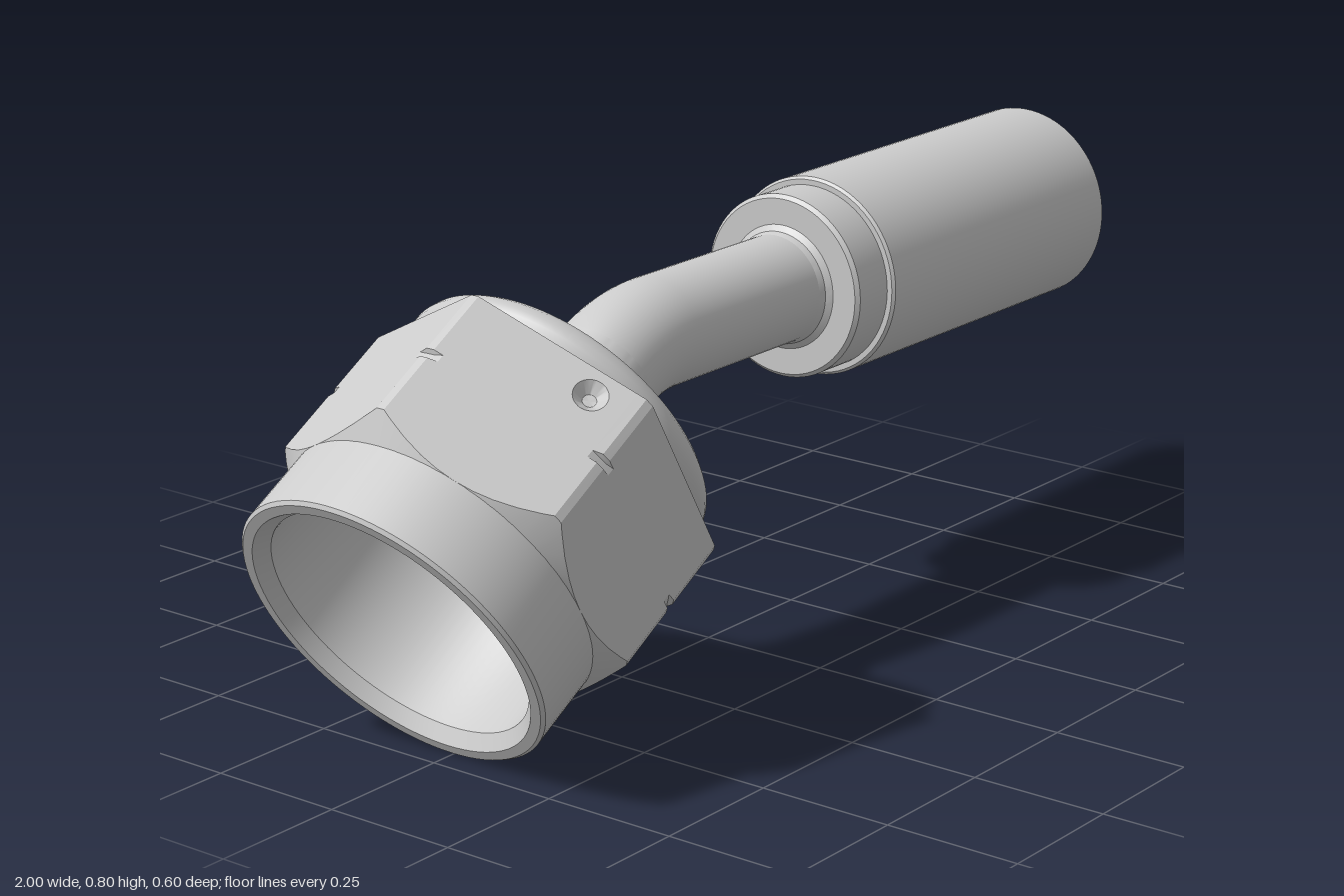
import * as THREE from 'three';
import { toCreasedNormals } from 'three/addons/utils/BufferGeometryUtils.js';

const material = new THREE.MeshStandardMaterial({ color: 0xcccccc });
const thin = new THREE.MeshStandardMaterial({ color: 0xcccccc, side: THREE.DoubleSide });
const rad = THREE.MathUtils.degToRad;

function add(parent, name, geometry, mat = material) {
  const mesh = new THREE.Mesh(geometry, mat);
  mesh.name = name;
  parent.add(mesh);
  return mesh;
}

// Turned part: [radius, distance along axis] pairs, sharp edges kept
function turned(points, sides = 72) {
  const profile = points.map(([r, t]) => new THREE.Vector2(r, t));
  return toCreasedNormals(new THREE.LatheGeometry(profile, sides), 0.6);
}

// Hex nut dimensions: flat radius, corner radius, notch radius, chamfer start, back face
const FLAT = 0.3, CORNER = 0.342, NOTCH = 0.334, FRONT = 0.145, BACK = 0.458;
const OFFSETS = [-28.7, -26, -20, -13, -6.5, 0, 6.5, 13, 20, 26, 28.7];
const MARKED = 2; // flat that carries the dimple
const hexRadius = (offset) => FLAT / Math.cos(rad(offset));
const chamfer = (r) => FRONT + (r - FLAT);

// Hexagon skin lofted through rings; corners are truncated and notched
function hexSkin() {
  const capped = (cap, t) => (o) => [Math.min(hexRadius(o), cap), t];
  const rings = [
    () => [FLAT, FRONT],
    (o) => [hexRadius(o), chamfer(hexRadius(o))],
    capped(CORNER, 0.31), capped(NOTCH, 0.314), capped(NOTCH, 0.325), capped(CORNER, 0.329),
    capped(CORNER, BACK),
    () => [0.25, BACK],
  ];
  const n = OFFSETS.length, count = 6 * n, positions = [], index = [];
  for (const ring of rings) {
    for (let j = 0; j < count; j++) {
      const o = OFFSETS[j % n];
      const a = rad(30 + 60 * Math.floor(j / n) + o);
      const [r, t] = ring(o);
      positions.push(r * Math.cos(a), t, r * Math.sin(a));
    }
  }
  for (let i = 0; i < rings.length - 1; i++) {
    for (let j = 0; j < count; j++) {
      const k = j % n;
      // leave the marked flat open for its pierced panel
      if (i >= 1 && i <= 5 && Math.floor(j / n) === MARKED && k >= 1 && k < n - 2) continue;
      const a = i * count + j, d = i * count + (j + 1) % count;
      const b = a + count, c = d + count;
      index.push(a, b, d, b, c, d);
    }
  }
  const g = new THREE.BufferGeometry();
  g.setAttribute('position', new THREE.Float32BufferAttribute(positions, 3));
  g.setIndex(index);
  return toCreasedNormals(g, 0.25);
}

// Flat with a round dimple
function markedFlat() {
  const group = new THREE.Group();
  group.name = 'markedFlat';
  const inner = OFFSETS.slice(1, -1);
  const shape = new THREE.Shape(inner.map((o) =>
    new THREE.Vector2(FLAT * Math.tan(rad(o)), chamfer(hexRadius(o)))));
  const edge = FLAT * Math.tan(rad(26));
  shape.lineTo(edge, BACK);
  shape.lineTo(-edge, BACK);
  shape.closePath();
  const hole = new THREE.Path();
  hole.absarc(0.087, 0.41, 0.03, 0, Math.PI * 2, true);
  shape.holes.push(hole);
  add(group, 'flatPanel', new THREE.ShapeGeometry(shape, 16));
  const dimple = add(group, 'dimple', turned([[0, -0.02], [0.012, -0.018], [0.03, 0]], 32), thin);
  dimple.rotation.x = Math.PI / 2;
  dimple.position.set(0.087, 0.41, 0);

  const a = rad(30 + 60 * MARKED);
  const normal = new THREE.Vector3(Math.cos(a), 0, Math.sin(a));
  const across = new THREE.Vector3(Math.sin(a), 0, -Math.cos(a));
  group.quaternion.setFromRotationMatrix(
    new THREE.Matrix4().makeBasis(across, new THREE.Vector3(0, 1, 0), normal));
  group.position.copy(normal).multiplyScalar(FLAT);
  return group;
}

export function createModel() {
  const model = new THREE.Group();
  model.name = 'angledHoseFitting';

  // Nut end, built along local y and tilted 30 degrees above horizontal
  const head = new THREE.Group();
  head.name = 'swivelEnd';
  head.position.set(-0.85, 0.26, 0);
  head.rotation.z = -Math.PI / 3;
  model.add(head);

  const nut = new THREE.Group();
  nut.name = 'hexNut';
  head.add(nut);
  add(nut, 'nutCollar', turned([
    [0.236, 0.46], [0.236, 0.4], [0.255, 0.37], [0.255, 0.025], [0.275, 0],
    [0.294, 0], [0.3, 0.006], [0.3, 0.16]], 96));
  add(nut, 'hexBody', hexSkin());
  nut.add(markedFlat());
  add(nut, 'crimpedLip', turned([
    [0.285, 0.45], [0.294, 0.463], [0.3, 0.475], [0.3, 0.488], [0.295, 0.503], [0.285, 0.513],
    [0.272, 0.518], [0.258, 0.515], [0.247, 0.507], [0.241, 0.495], [0.24, 0.45]], 96));

  // Sealing head: cone seat, flange and fillet into the tube
  add(head, 'flangedSeat', turned([
    [0.065, 0.31], [0.09, 0.3], [0.215, 0.375], [0.233, 0.39], [0.233, 0.508], [0.228, 0.514],
    [0.218, 0.516], [0.18, 0.518], [0.15, 0.525], [0.125, 0.54], [0.109, 0.56],
    [0.101, 0.585], [0.1, 0.64]]));

  // Bent tube and its bore
  const axis = new THREE.Vector3(Math.cos(Math.PI / 6), 0.5, 0);
  const bend = new THREE.Vector3(-0.235, 0.615, 0);
  const along = (d) => bend.clone().addScaledVector(axis, d);
  const straight = (x) => new THREE.Vector3(x, 0.615, 0);
  const bentTube = (from, to, radius) => {
    const path = new THREE.CurvePath();
    path.add(new THREE.LineCurve3(along(from), along(-0.08)));
    path.add(new THREE.QuadraticBezierCurve3(along(-0.08), bend, straight(-0.155)));
    path.add(new THREE.LineCurve3(straight(-0.155), straight(to)));
    return new THREE.TubeGeometry(path, 90, radius, 48);
  };
  add(model, 'bentTube', bentTube(-0.13, 0.25, 0.1));
  add(model, 'tubeBore', bentTube(-0.4, 0.99, 0.065), thin);

  // Crimp sleeve with the hose nipple inside
  const sleeve = new THREE.Group();
  sleeve.name = 'hoseEnd';
  sleeve.position.y = 0.615;
  sleeve.rotation.z = -Math.PI / 2;
  model.add(sleeve);
  add(sleeve, 'crimpSleeve', turned([
    [0.1, 0.195], [0.104, 0.207], [0.115, 0.215], [0.163, 0.215], [0.17, 0.222], [0.17, 0.305],
    [0.18, 0.305], [0.185, 0.31], [0.185, 1], [0.172, 1], [0.145, 0.8], [0.143, 0.45],
    [0.09, 0.45]]));
  add(sleeve, 'hoseNipple', turned([
    [0.095, 0.44], [0.095, 0.9], [0.078, 0.99], [0.065, 0.99]]));

  return model;
}
